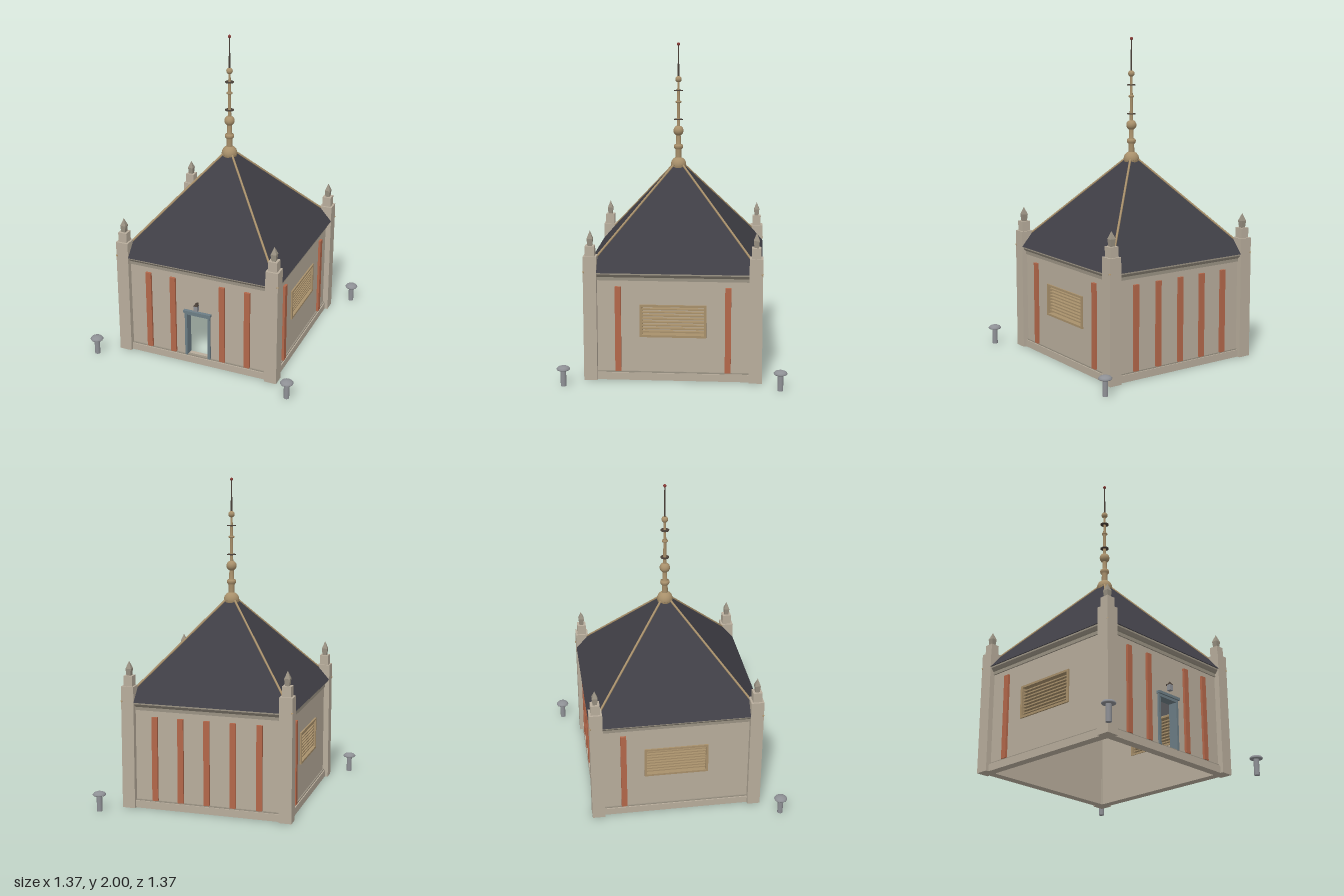
import * as THREE from 'three';

const mat = (name, color) => {
  const m = new THREE.MeshStandardMaterial({ color });
  m.name = name;
  return m;
};
const stone = mat('stone', 0xb8ad9c);
const moulding = mat('moulding', 0x9a9283);
const slate = mat('slate', 0x3f3e45);
const copper = mat('copperStrip', 0xb3674a);
const brass = mat('brass', 0xa8906b);
const paint = mat('bluePaint', 0x6c7d85);
const steel = mat('steel', 0x8e9095);
const dark = mat('darkMetal', 0x4a4038);
const red = mat('redTip', 0x8a3c38);

const flat = (g) => {
  const n = g.toNonIndexed();
  n.computeVertexNormals();
  return n;
};

function add(parent, name, geo, material, x = 0, y = 0, z = 0) {
  const m = new THREE.Mesh(geo, material);
  m.name = name;
  m.position.set(x, y, z);
  parent.add(m);
  return m;
}

// box given by its width, bottom, top and depth range
function slab(parent, name, material, x, w, y0, y1, z0, z1) {
  return add(parent, name, new THREE.BoxGeometry(w, y1 - y0, z1 - z0), material, x, (y0 + y1) / 2, (z0 + z1) / 2);
}

const lathe = (pts, n) => new THREE.LatheGeometry(pts.map(([r, y]) => new THREE.Vector2(r, y)), n);

// one wall facing +z, with an optional hole [x0, x1, y0, y1] and vertical strips
function makeWall(name, angle, strips, hole) {
  const g = new THREE.Group();
  g.name = name;
  const s = new THREE.Shape();
  s.moveTo(-0.47, 0).lineTo(0.47, 0).lineTo(0.47, 0.66).lineTo(-0.47, 0.66).closePath();
  if (hole) {
    const [a, b, c, d] = hole;
    const h = new THREE.Path();
    h.moveTo(a, c).lineTo(a, d).lineTo(b, d).lineTo(b, c).closePath();
    s.holes.push(h);
  }
  add(g, 'wallPanel', new THREE.ExtrudeGeometry(s, { depth: 0.04, bevelEnabled: false }), stone, 0, 0, 0.46);
  slab(g, 'plinth', stone, 0, 0.92, 0, 0.045, 0.49, 0.515);
  slab(g, 'plinthTrim', moulding, 0, 0.92, 0.045, 0.053, 0.49, 0.508);

  // cornice profile swept along the wall
  const c = new THREE.Shape();
  c.moveTo(0.49, 0.615).lineTo(0.508, 0.615).lineTo(0.508, 0.635).lineTo(0.515, 0.64);
  c.lineTo(0.528, 0.655).lineTo(0.528, 0.665).lineTo(0.49, 0.665).closePath();
  const cg = new THREE.ExtrudeGeometry(c, { depth: 0.92, bevelEnabled: false });
  cg.rotateY(-Math.PI / 2);
  add(g, 'cornice', cg, moulding, 0.46, 0, 0);

  for (const x of strips) slab(g, 'verticalStrip', copper, x, 0.036, 0.053, 0.578, 0.49, 0.515);
  g.rotation.y = angle;
  return g;
}

function addDoor(wall) {
  for (const s of [-1, 1]) slab(wall, 'doorJamb', paint, s * 0.077, 0.016, 0.05, 0.352, 0.455, 0.512);
  slab(wall, 'doorHead', paint, 0, 0.17, 0.34, 0.355, 0.455, 0.512);
  slab(wall, 'doorLintel', paint, 0, 0.182, 0.355, 0.371, 0.49, 0.522);
  // lantern over the door
  slab(wall, 'lanternBracket', dark, 0, 0.012, 0.425, 0.435, 0.5, 0.525);
  slab(wall, 'lanternBody', steel, 0, 0.026, 0.39, 0.425, 0.512, 0.538);
  const cap = flat(new THREE.ConeGeometry(0.02, 0.022, 4).rotateY(Math.PI / 4));
  add(wall, 'lanternCap', cap, dark, 0, 0.436, 0.525);
}

function addVent(wall) {
  for (const s of [-1, 1]) slab(wall, 'ventSide', brass, s * 0.193, 0.014, 0.27, 0.466, 0.455, 0.51);
  slab(wall, 'ventSill', brass, 0, 0.4, 0.268, 0.281, 0.455, 0.51);
  slab(wall, 'ventHead', brass, 0, 0.4, 0.455, 0.468, 0.455, 0.51);
  for (let i = 0; i < 8; i++) {
    const y = 0.298 + i * 0.02;
    slab(wall, 'ventSlat', brass, 0, 0.374, y - 0.004, y + 0.004, 0.468, 0.498);
  }
}

function makePost(x, z) {
  const g = new THREE.Group();
  g.name = 'cornerPost';
  slab(g, 'postShaft', stone, 0, 0.08, 0, 0.762, -0.04, 0.04);
  slab(g, 'pinnacleBase', stone, 0, 0.056, 0.762, 0.825, -0.028, 0.028);
  const tip = lathe([[0.019, 0.825], [0.025, 0.868], [0, 0.915]], 4);
  add(g, 'pinnacle', flat(tip.rotateY(Math.PI / 4)), moulding);
  g.position.set(x, 0, z);
  return g;
}

function makeBollard(x, z) {
  const g = new THREE.Group();
  g.name = 'bollard';
  add(g, 'bollardStem', new THREE.CylinderGeometry(0.017, 0.017, 0.106, 16), steel, 0, 0.053, 0);
  add(g, 'bollardCap', lathe([[0, 0.1], [0.038, 0.1], [0.041, 0.106], [0.033, 0.116], [0.018, 0.122], [0, 0.124]], 20), steel);
  g.position.set(x, 0, z);
  return g;
}

function makeRoof() {
  const g = new THREE.Group();
  g.name = 'roof';
  const half = 0.535, base = 0.665, top = 1.275;
  const cone = new THREE.ConeGeometry(half * Math.SQRT2, top - base, 4).rotateY(Math.PI / 4);
  add(g, 'roofSlopes', flat(cone), slate, 0, (base + top) / 2, 0);
  // hip ridges
  const apex = new THREE.Vector3(0, top, 0);
  for (const sx of [-1, 1]) for (const sz of [-1, 1]) {
    const path = new THREE.LineCurve3(new THREE.Vector3(sx * half, base, sz * half), apex);
    add(g, 'hipRidge', new THREE.TubeGeometry(path, 1, 0.007, 8), brass);
  }
  return g;
}

function makeSpire() {
  const g = new THREE.Group();
  g.name = 'spire';
  // tapering rod with collars
  add(g, 'spireRod', lathe([
    [0.02, 1.22], [0.018, 1.335], [0.027, 1.345], [0.029, 1.356], [0.027, 1.366], [0.015, 1.372],
    [0.014, 1.43], [0.011, 1.48], [0.009, 1.625], [0.018, 1.63], [0.018, 1.638], [0.009, 1.643], [0.007, 1.76]
  ], 16), brass);
  add(g, 'spireNeedle', new THREE.CylinderGeometry(0.003, 0.006, 0.22, 10), dark, 0, 1.88, 0);
  for (const [y, r] of [[1.242, 0.049], [1.455, 0.032], [1.775, 0.02]])
    add(g, 'spireBall', new THREE.SphereGeometry(r, 18, 12), brass, 0, y, 0);
  add(g, 'spireSkirt', new THREE.CylinderGeometry(0.049, 0.03, 0.035, 18), brass, 0, 1.222, 0);
  for (const y of [1.525, 1.705])
    add(g, 'spireDisc', new THREE.CylinderGeometry(0.027, 0.027, 0.005, 16), dark, 0, y, 0);
  add(g, 'spireTip', new THREE.SphereGeometry(0.01, 10, 8), red, 0, 1.99, 0);
  return g;
}

export function createModel() {
  const model = new THREE.Group();
  model.name = 'pavilion';
  const vent = [-0.2, 0.2, 0.27, 0.466];

  const front = makeWall('frontWall', 0, [-0.33, -0.165, 0.165, 0.33], [-0.085, 0.085, 0.05, 0.355]);
  addDoor(front);
  const left = makeWall('leftWall', Math.PI / 2, [-0.33, 0.33], vent);
  addVent(left);
  const right = makeWall('rightWall', -Math.PI / 2, [-0.33], vent);
  addVent(right);
  const back = makeWall('backWall', Math.PI, [-0.33, -0.165, 0, 0.165, 0.33]);
  model.add(front, left, right, back);

  // inner ceiling
  slab(model, 'ceiling', steel, 0, 0.93, 0.472, 0.49, -0.465, 0.465);

  for (const sx of [-1, 1]) for (const sz of [-1, 1]) {
    model.add(makePost(sx * 0.495, sz * 0.495));
    if (sx > 0 || sz > 0) model.add(makeBollard(sx * 0.643, sz * 0.643));
  }
  model.add(makeRoof(), makeSpire());
  return model;
}
